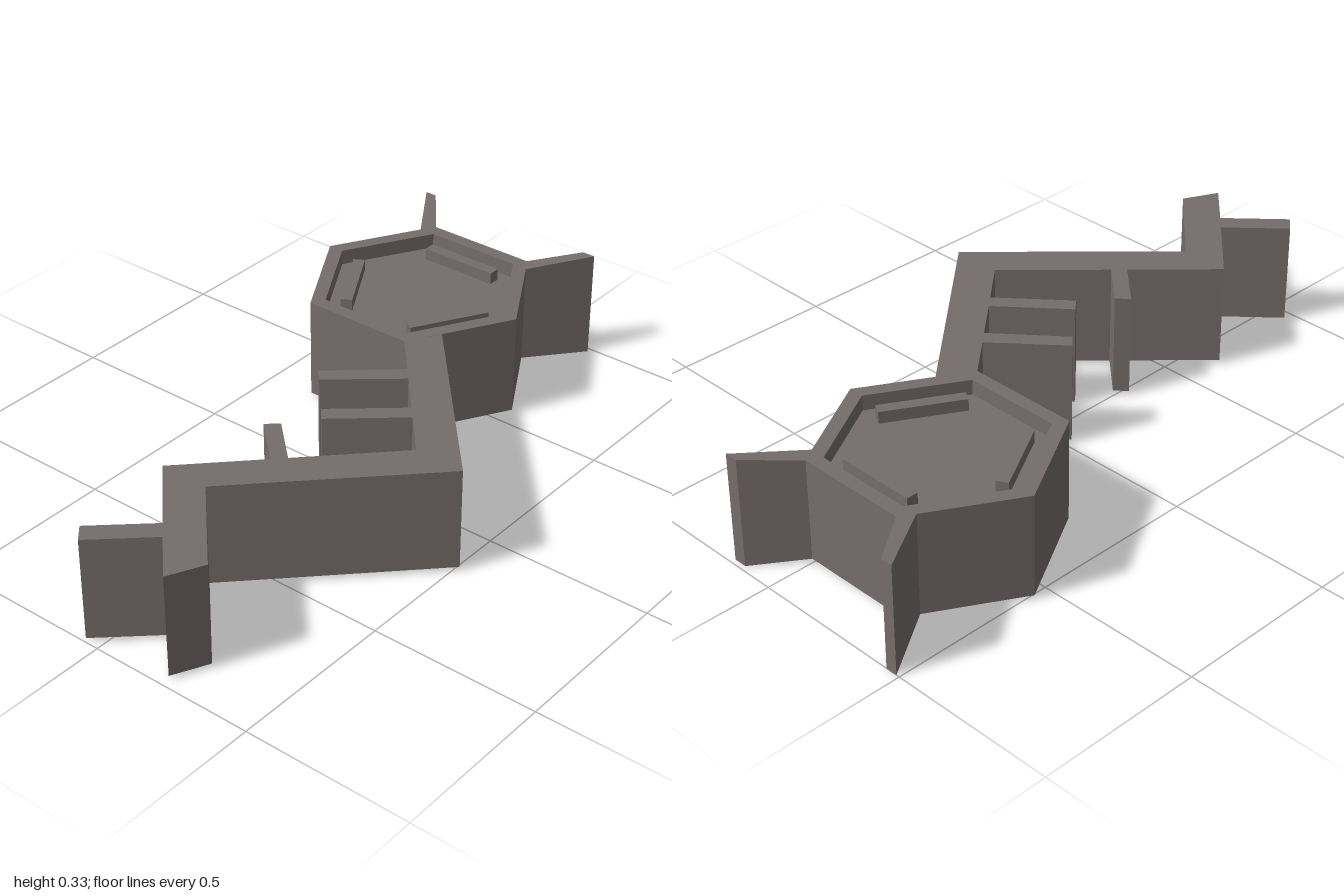
import * as THREE from 'three';

const BOTTOM = 0.012, TOP = 0.32;
const RECESS = 0.046, BAR = 0.036;

// Extrudes a plan outline given as [x, z] corners between two heights
function prism(points, y0, y1, hole) {
  const flat = (list) => list.map(([x, z]) => new THREE.Vector2(x, -z));
  const shape = new THREE.Shape(flat(points));
  // the hole winds the other way, so its walls face inward
  if (hole) shape.holes.push(new THREE.Path(flat(hole).reverse()));
  const geo = new THREE.ExtrudeGeometry(shape, { depth: y1 - y0, bevelEnabled: false });
  return geo.rotateX(-Math.PI / 2).translate(0, y0, 0);
}

const hexagon = (r) => Array.from({ length: 6 }, (_, i) => {
  const a = (i * Math.PI) / 3;
  return [r * Math.cos(a), r * Math.sin(a)];
});

export function createModel() {
  const model = new THREE.Group();
  model.name = 'moleculeModel';
  const material = new THREE.MeshStandardMaterial({ color: 0x766d6c });
  material.name = 'warm grey';
  material.flatShading = true;
  const add = (parent, name, geo) => {
    const mesh = new THREE.Mesh(geo, material);
    mesh.name = name;
    parent.add(mesh);
    return mesh;
  };

  // Hexagonal ring, with a floor recessed from both sides
  const ring = new THREE.Group();
  ring.name = 'ring';
  ring.position.set(-0.17, 0, -0.553);
  model.add(ring);
  add(ring, 'ringWall', prism(hexagon(0.345), BOTTOM, TOP, hexagon(0.298)));
  add(ring, 'ringFloor', prism(hexagon(0.3), BOTTOM + RECESS, TOP - RECESS));

  // Three raised bars on each side of the floor
  for (let i = 0; i < 3; i++) {
    const a = (i * 2 * Math.PI) / 3;
    for (const y of [TOP - RECESS + BAR / 2, BOTTOM + RECESS - BAR / 2]) {
      const bar = add(ring, 'ringBar', new THREE.BoxGeometry(0.243, BAR, 0.035));
      bar.position.set(-Math.sin(a) * 0.202, y, -Math.cos(a) * 0.202);
      bar.rotation.y = a;
    }
  }

  // Two rear arms that grow taller toward their tips
  const arms = [
    [[-0.49, -1], [-0.454, -1], [-0.34, -0.852], [-0.366, -0.808]],
    [[0.112, -0.985], [0.152, -0.985], [0.026, -0.808], [0.001, -0.852]],
  ];
  for (const outline of arms) {
    const geo = prism(outline, BOTTOM, TOP);
    const p = geo.attributes.position;
    for (let i = 0; i < p.count; i++) {
      if (p.getZ(i) < -0.92) p.setY(i, p.getY(i) > 0.16 ? 0.332 : 0);
    }
    geo.computeVertexNormals();
    add(model, 'rearArm', geo);
  }

  // Zigzag chain leading forward from the ring
  add(model, 'chain', prism([
    [0.002, -0.254], [0.06, -0.353], [0.515, 0.159], [0.048, 0.629], [0.275, 0.871],
    [0.224, 0.975], [0.112, 0.857], [-0.101, 0.629], [0.362, 0.158],
  ], BOTTOM, TOP));

  // Side branches of the chain
  const branches = [
    [[-0.087, 0.018], [-0.055, 0.052], [0.138, -0.111], [0.102, -0.146]],
    [[0.043, 0.163], [0.075, 0.2], [0.265, 0.036], [0.232, 0.001]],
    [[-0.028, 0.316], [0.006, 0.284], [0.129, 0.399], [0.097, 0.432]],
    [[-0.08, 0.953], [-0.041, 0.998], [0.112, 0.857], [0.074, 0.812]],
  ];
  for (const outline of branches) add(model, 'branch', prism(outline, BOTTOM, TOP));

  return model;
}
